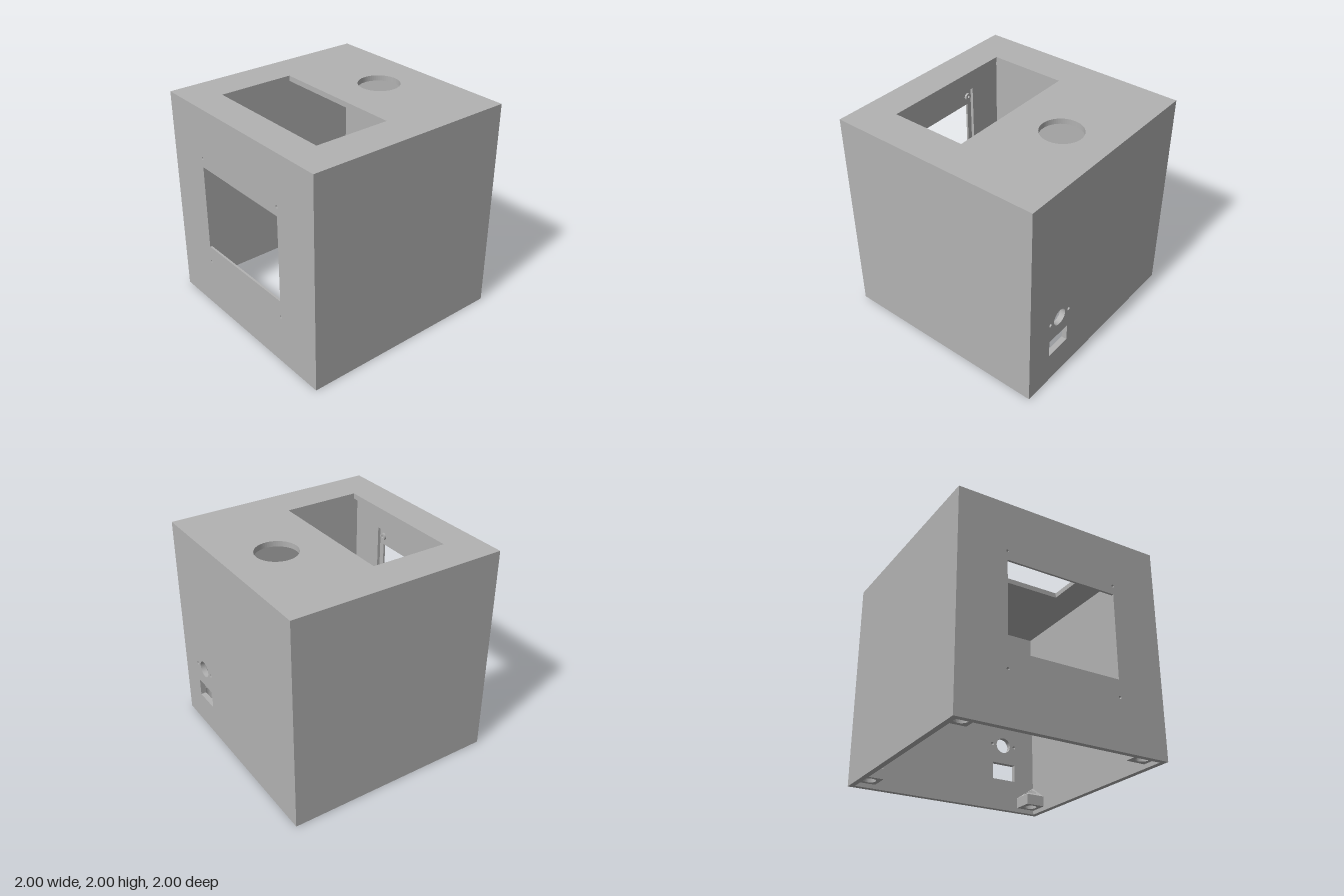
import * as THREE from 'three';

const T = 0.05; // wall thickness

const rect = (C, x0, y0, x1, y1) => {
  const s = new C();
  s.moveTo(x0, y0);
  s.lineTo(x1, y0);
  s.lineTo(x1, y1);
  s.lineTo(x0, y1);
  s.closePath();
  return s;
};
const hole = (x0, y0, x1, y1) => rect(THREE.Path, x0, y0, x1, y1);
const circle = (x, y, r, C = THREE.Path) => {
  const s = new C();
  s.absarc(x, y, r, 0, Math.PI * 2, false);
  return s;
};

// Flat plate from an outline and holes, spanning z0 to z1
function plate(shape, holes, z0, z1) {
  shape.holes.push(...holes);
  const g = new THREE.ExtrudeGeometry(shape, { depth: z1 - z0, bevelEnabled: false, curveSegments: 32 });
  return g.translate(0, 0, z0);
}

// Corner block with a vertical screw hole and a top rising into the corner
function cornerBlockGeometry() {
  const N = 32, size = 0.19, h = size / 2, r = 0.06, low = 0.04, mid = 0.14, rise = 0.13;
  const top = (u, v) => mid + rise * (1 - Math.max(u, v) / size);
  const pos = [], index = [];
  for (let i = 0; i < N; i++) {
    const a = (i / N) * Math.PI * 2, c = Math.cos(a), s = Math.sin(a);
    const k = h / Math.max(Math.abs(c), Math.abs(s));
    const ui = h + c * r, vi = h + s * r, uo = h + c * k, vo = h + s * k;
    const loop = [[ui, low, vi], [uo, low, vo], [uo, top(uo, vo), vo], [ui, top(ui, vi), vi]];
    loop.forEach(([u, y, v]) => pos.push(u - 1 + T, y, v - 1 + T));
    const n = (i + 1) % N;
    for (let j = 0; j < 4; j++) {
      const m = (j + 1) % 4;
      index.push(i * 4 + j, i * 4 + m, n * 4 + j, n * 4 + j, i * 4 + m, n * 4 + m);
    }
  }
  const g = new THREE.BufferGeometry();
  g.setAttribute('position', new THREE.Float32BufferAttribute(pos, 3));
  g.setIndex(index);
  const flat = g.toNonIndexed();
  flat.computeVertexNormals();
  return flat;
}

export function createModel() {
  const grey = new THREE.MeshStandardMaterial({ color: 0xb2b2b2 });
  grey.name = 'grey plastic';
  const model = new THREE.Group();
  model.name = 'enclosure';
  const add = (name, geometry) => {
    const mesh = new THREE.Mesh(geometry, grey);
    mesh.name = name;
    model.add(mesh);
    return mesh;
  };
  const wall = () => rect(THREE.Shape, -1, 0, 1, 2 - T);

  // Top with a rectangular opening and a round opening (shape y is -z)
  const topPlate = plate(rect(THREE.Shape, -1, -1, 1, 1),
    [hole(-0.65, -0.695, 0.65, 0.02), circle(0, 0.525, 0.19)], 2 - T, 2);
  add('topPanel', topPlate.rotateX(-Math.PI / 2).translate(0, 0, 0));
  topPlate.computeBoundingBox();
  topPlate.translate(0, 2 - topPlate.boundingBox.max.y, 0);

  // Front: thin face with display window, thicker frame around an inner recess
  const screws = [];
  for (const x of [-0.54, 0.535]) for (const y of [0.475, 1.53]) screws.push([x, y]);
  add('frontPanel', plate(wall(),
    [hole(-0.54, 0.635, 0.535, 1.445), ...screws.map(([x, y]) => circle(x, y, 0.013))], 0.98, 1));
  add('frontInnerFrame', plate(wall(), [hole(-0.59, 0.39, 0.59, 1.61)], 1 - T, 0.98));
  for (const [x, y] of screws) {
    add('screwBoss', plate(circle(x, y, 0.035, THREE.Shape), [circle(x, y, 0.013)], 0.96, 0.98));
  }

  // Back with round socket, its two screw holes and a switch opening
  add('backPanel', plate(wall(), [
    circle(0.6, 0.667, 0.078), circle(0.473, 0.667, 0.016), circle(0.727, 0.667, 0.016),
    hole(0.48, 0.305, 0.732, 0.475)], -1, -1 + T));

  // Side walls
  for (const s of [-1, 1]) {
    const g = new THREE.BoxGeometry(T, 2 - T, 2 - 2 * T);
    add(s > 0 ? 'leftPanel' : 'rightPanel', g.translate(s * (1 - T / 2), 1 - T / 2, 0));
  }

  // Mounting blocks in the four bottom corners
  const block = cornerBlockGeometry();
  for (let i = 0; i < 4; i++) add('cornerBlock', block).rotation.y = (i * Math.PI) / 2;

  return model;
}
